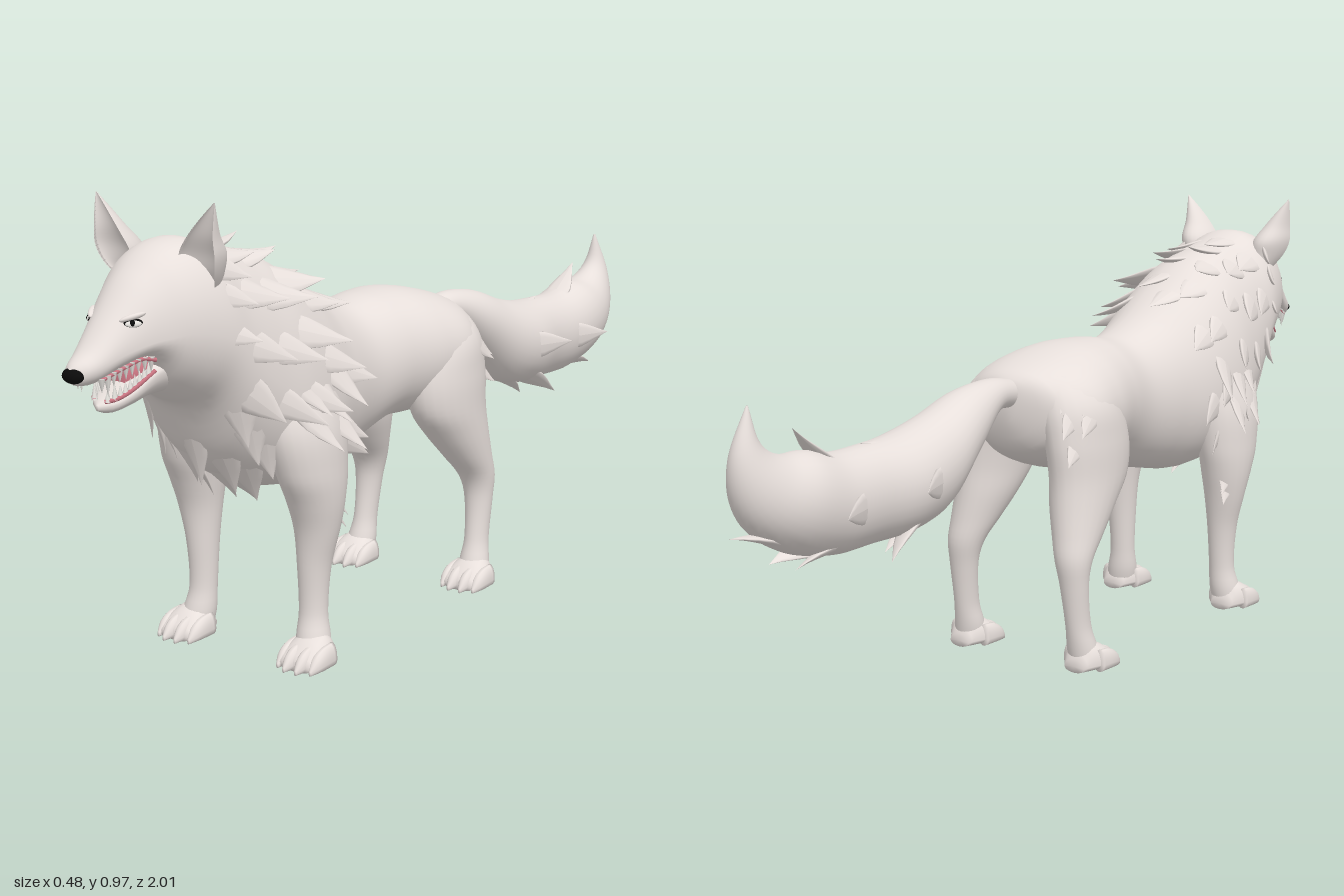
import * as THREE from 'three';
import { mergeGeometries } from 'three/addons/utils/BufferGeometryUtils.js';

const mat = (name, color) => Object.assign(new THREE.MeshStandardMaterial({ color }), { name });
const V = (x, y, z) => new THREE.Vector3(x, y, z);

let seed = 7;
const rnd = () => (seed = (seed * 16807) % 2147483647) / 2147483647;

// Smoothly interpolated row of a section table; column 0 is the increasing key
function at(rows, k) {
  let i = 0;
  while (i < rows.length - 2 && k > rows[i + 1][0]) i++;
  const a = rows[i], b = rows[i + 1], p = rows[i - 1] || a, n = rows[i + 2] || b;
  const h = b[0] - a[0], u = (k - a[0]) / h, u2 = u * u, u3 = u2 * u;
  return a.map((v, c) => {
    const m0 = (b[c] - p[c]) / (b[0] - p[0]), m1 = (n[c] - v) / (n[0] - a[0]);
    return (2 * u3 - 3 * u2 + 1) * v + (u3 - 2 * u2 + u) * h * m0 + (3 * u2 - 2 * u3) * b[c] + (u3 - u2) * h * m1;
  });
}

// Closed skin through the sections; place(row, angle) gives a point
function loft(rows, place, rings = 40, seg = 28) {
  const pos = [], idx = [], k0 = rows[0][0], k1 = rows[rows.length - 1][0];
  for (let r = 0; r <= rings; r++) {
    const row = at(rows, k0 + (k1 - k0) * r / rings);
    for (let s = 0; s < seg; s++) pos.push(...place(row, s / seg * Math.PI * 2).toArray());
  }
  for (let r = 0; r < rings; r++) for (let s = 0; s < seg; s++) {
    const a = r * seg + s, b = r * seg + (s + 1) % seg;
    idx.push(a, b, a + seg, b, b + seg, a + seg);
  }
  for (const r of [0, rings]) {
    const c = V(0, 0, 0), n = pos.length / 3;
    for (let s = 0; s < seg; s++) c.add(V(...pos.slice((r * seg + s) * 3, (r * seg + s) * 3 + 3)));
    pos.push(...c.divideScalar(seg).toArray());
    for (let s = 0; s < seg; s++) {
      const a = r * seg + s, b = r * seg + (s + 1) % seg;
      idx.push(n, r ? a : b, r ? b : a);
    }
  }
  // Turn the faces outward if the enclosed volume is negative
  let vol = 0;
  const p = i => V(pos[i * 3], pos[i * 3 + 1], pos[i * 3 + 2]);
  for (let i = 0; i < idx.length; i += 3) vol += p(idx[i]).dot(p(idx[i + 1]).cross(p(idx[i + 2])));
  if (vol < 0) idx.reverse();
  const g = new THREE.BufferGeometry();
  g.setAttribute('position', new THREE.Float32BufferAttribute(pos, 3));
  g.setIndex(idx);
  g.computeVertexNormals();
  return g;
}

// Section shapes: lengthwise [z, top, mid, bottom, halfWidth], upright [y, x, z, rx, rz]
const alongZ = ([z, top, mid, bot, w], a) =>
  V(w * Math.sign(Math.cos(a)) * Math.abs(Math.cos(a)) ** 0.92, mid + Math.sin(a) * (Math.sin(a) > 0 ? top - mid : mid - bot), z);
const upright = s => ([y, x, z, rx, rz], a) => V(s * (x + rx * Math.cos(a)), y, z + rz * Math.sin(a));
const ear = s => ([y, x, z, rx, rz], a) =>
  V(s * (x + rx * Math.cos(a)), y, z + rz * Math.sin(a) * (Math.sin(a) < 0 ? 1 : -0.35));
const tailRing = ([, z, y, h, w, t], a) =>
  V(w * Math.cos(a), y + h * Math.sin(a) * Math.cos(t), z + h * Math.sin(a) * Math.sin(t));

const BODY = [
  [-0.195, 0.62, 0.58, 0.54, 0.03], [-0.175, 0.642, 0.57, 0.48, 0.11], [-0.1, 0.67, 0.55, 0.43, 0.175],
  [0, 0.69, 0.55, 0.41, 0.172], [0.1, 0.69, 0.55, 0.41, 0.146], [0.2, 0.68, 0.53, 0.38, 0.13],
  [0.3, 0.71, 0.53, 0.355, 0.145], [0.4, 0.77, 0.53, 0.34, 0.172], [0.5, 0.83, 0.54, 0.355, 0.182],
  [0.58, 0.855, 0.59, 0.39, 0.17], [0.65, 0.872, 0.65, 0.455, 0.157], [0.7, 0.888, 0.7, 0.55, 0.148],
  [0.75, 0.883, 0.72, 0.585, 0.132], [0.79, 0.866, 0.725, 0.615, 0.114], [0.82, 0.845, 0.72, 0.66, 0.096],
  [0.85, 0.82, 0.715, 0.678, 0.079], [0.9, 0.765, 0.7, 0.665, 0.056], [0.95, 0.712, 0.68, 0.648, 0.038],
  [0.98, 0.692, 0.672, 0.65, 0.024], [0.992, 0.682, 0.67, 0.66, 0.008]];
const TAIL = [
  [0, -0.17, 0.60, 0.03, 0.03, 0], [1, -0.25, 0.603, 0.038, 0.042, 0], [2, -0.35, 0.555, 0.074, 0.07, 0],
  [3, -0.45, 0.495, 0.1, 0.09, 0], [4, -0.55, 0.47, 0.102, 0.098, 0], [5, -0.65, 0.465, 0.1, 0.085, 0],
  [6, -0.75, 0.465, 0.1, 0.086, 0.1], [7, -0.85, 0.49, 0.098, 0.086, 0.4], [8, -0.925, 0.53, 0.075, 0.062, 0.8],
  [9, -0.965, 0.60, 0.036, 0.03, 1.2], [10, -0.957, 0.686, 0.002, 0.002, 1.4]];
const FRONT_LEG = [
  [0.015, 0.155, 0.48, 0.035, 0.035], [0.05, 0.15, 0.475, 0.036, 0.036], [0.1, 0.145, 0.468, 0.03, 0.03],
  [0.2, 0.146, 0.465, 0.035, 0.036], [0.28, 0.152, 0.463, 0.048, 0.047], [0.34, 0.153, 0.467, 0.058, 0.064],
  [0.4, 0.15, 0.475, 0.064, 0.085], [0.5, 0.135, 0.48, 0.07, 0.1], [0.6, 0.1, 0.47, 0.06, 0.08], [0.66, 0.08, 0.46, 0.02, 0.03]];
const HIND_LEG = [
  [0.015, 0.16, -0.12, 0.035, 0.035], [0.05, 0.157, -0.128, 0.034, 0.034], [0.1, 0.155, -0.14, 0.027, 0.03],
  [0.2, 0.152, -0.152, 0.033, 0.032], [0.25, 0.148, -0.148, 0.042, 0.042], [0.3, 0.14, -0.122, 0.053, 0.062],
  [0.36, 0.131, -0.09, 0.064, 0.088], [0.42, 0.126, -0.063, 0.069, 0.112], [0.5, 0.119, -0.06, 0.073, 0.12],
  [0.58, 0.1, -0.07, 0.076, 0.105], [0.64, 0.07, -0.07, 0.05, 0.075], [0.655, 0.06, -0.07, 0.015, 0.02]];
const EAR = [
  [0.79, 0.085, 0.72, 0.026, 0.035], [0.83, 0.096, 0.748, 0.04, 0.062], [0.865, 0.104, 0.76, 0.043, 0.072],
  [0.9, 0.115, 0.763, 0.031, 0.048], [0.935, 0.13, 0.76, 0.016, 0.024], [0.966, 0.145, 0.755, 0.001, 0.001]];
const JAW = [
  [0.76, 0.68, 0.65, 0.6, 0.06], [0.82, 0.674, 0.648, 0.6, 0.06], [0.87, 0.638, 0.619, 0.59, 0.046],
  [0.905, 0.614, 0.603, 0.585, 0.029], [0.925, 0.603, 0.598, 0.592, 0.004]];
const MOUTH = [
  [0.78, 0.69, 0.665, 0.63, 0.05], [0.82, 0.69, 0.662, 0.62, 0.046], [0.85, 0.68, 0.65, 0.612, 0.034],
  [0.87, 0.67, 0.637, 0.605, 0.018]];
const PAW = [
  [-0.05, 0.03, 0.012, 0, 0.026], [-0.025, 0.066, 0.016, 0, 0.042], [0.015, 0.058, 0.014, 0, 0.053],
  [0.045, 0.036, 0.012, 0, 0.05], [0.058, 0.022, 0.01, 0, 0.04]];
const TOE = [
  [0, 0.05, 0.016, 0, 0.013], [0.035, 0.046, 0.016, 0, 0.0155], [0.06, 0.032, 0.012, 0, 0.012], [0.076, 0.01, 0.006, 0, 0.003]];

// Point and outward normal on a skin
function surface(rows, place, k, a) {
  const e = 0.004, p = place(at(rows, k), a);
  const du = place(at(rows, k + e), a).sub(place(at(rows, k - e), a));
  const dv = place(at(rows, k), a + 0.02).sub(place(at(rows, k), a - 0.02));
  const n = du.cross(dv).normalize();
  if (n.dot(V(p.x, p.y - at(rows, k)[2], 0)) < 0) n.negate();
  return { p, n };
}

// Flat pointed lock of fur rooted just under the skin
function tuft({ p, n }, flow, lift, len, w) {
  const d = flow.clone().addScaledVector(n, -flow.dot(n)).normalize().addScaledVector(n, lift).normalize();
  const x = d.clone().cross(n).normalize(), z = x.clone().cross(d);
  const g = new THREE.ConeGeometry(1, 1, 10, 4);
  const q = g.attributes.position;
  for (let i = 0; i < q.count; i++) {
    const t = q.getY(i) + 0.5, f = 1 + 1.2 * t * (1 - t);
    q.setXYZ(i, q.getX(i) * w * f, t * len, q.getZ(i) * w * 0.25 * f + 0.12 * len * t * t);
  }
  g.computeVertexNormals();
  return g.applyMatrix4(new THREE.Matrix4().makeBasis(x, d, z).setPosition(p.clone().addScaledVector(n, -0.012)));
}

export function createModel() {
  const fur = mat('greyFur', 0xe9e1dd), black = mat('black', 0x0b0b0b);
  const pink = mat('pinkGum', 0xcc7683), white = mat('white', 0xf4f1ec);
  const root = new THREE.Group();
  root.name = 'wolf';
  const add = (name, geo, m, parent = root) => {
    const o = new THREE.Mesh(geo, m);
    o.name = name;
    parent.add(o);
    return o;
  };
  const ball = (name, m, c, r, parent) => {
    const o = add(name, new THREE.SphereGeometry(1, 18, 12), m, parent);
    o.position.set(...c);
    o.scale.set(...r);
    return o;
  };

  add('bodyAndHead', loft(BODY, alongZ, 110, 40), fur);
  add('tail', loft(TAIL, tailRing, 60), fur);
  add('lowerJaw', loft(JAW, alongZ, 20), fur);
  add('mouthInside', loft(MOUTH, alongZ, 16), pink);
  ball('tongue', pink, [0, 0.624, 0.872], [0.016, 0.006, 0.028]).rotation.x = 0.35;
  ball('nose', black, [0, 0.669, 0.983], [0.024, 0.015, 0.017]);

  // Mane: overlapping rings of broad locks, then rows down the chest
  const locks = [];
  [[0.665, 8], [0.6, 9], [0.53, 9], [0.46, 8], [0.41, 6]].forEach(([z, n], r) => {
    for (let i = 0; i < n; i++) {
      const a = (-0.13 + 1.26 * (i + (r % 2) * 0.5) / (n - 0.5)) * Math.PI;
      const side = Math.abs(Math.cos(a));
      locks.push(tuft(surface(BODY, alongZ, z, a), V(0, -0.5, -1), 0.27 + 0.06 * side, 0.1 + 0.035 * rnd(), 0.032 + 0.008 * rnd()));
    }
  });
  [[0.675, 3], [0.645, 4], [0.605, 5], [0.56, 3]].forEach(([z, n]) => {
    for (let i = 0; i < n; i++) {
      const a = -Math.PI / 2 + (i / (n - 1) - 0.5) * 1.9;
      locks.push(tuft(surface(BODY, alongZ, z, a), V(0, -1, -0.3), 0.1, 0.1 + 0.03 * rnd(), 0.038));
    }
  });
  add('mane', mergeGeometries(locks), fur);

  // Locks along the tail
  const tailLocks = [];
  for (const [k, a, lift] of [[3.6, 0, 0.27], [3.6, Math.PI, 0.27], [5.7, 0, 0.27], [5.7, Math.PI, 0.27],
    [4, 1.57, 0.1], [6.2, 1.57, 0.4], [3.4, -1.57, 0.15], [4, -1.1, 0.35], [4, -2.04, 0.35],
    [6.1, -1.2, 0.2], [6.1, -1.94, 0.2], [7.2, -1.57, 0.2]]) {
    tailLocks.push(tuft(surface(TAIL, tailRing, k, a), V(0, 0, -1), lift, 0.11, 0.034));
  }
  add('tailLocks', mergeGeometries(tailLocks), fur);

  for (const s of [1, -1]) {
    const side = s > 0 ? 'left' : 'right';
    add(side + 'Ear', loft(EAR, ear(s), 24, 24), fur);

    // Legs with four-toed paws
    for (const [kind, rows, px, pz] of [['Front', FRONT_LEG, 0.158, 0.492], ['Hind', HIND_LEG, 0.16, -0.112]]) {
      const leg = new THREE.Group();
      leg.name = side + kind + 'Leg';
      root.add(leg);
      add('leg', loft(rows, upright(s), 44, 24), fur, leg);
      add('paw', loft(PAW, alongZ, 14, 24), fur, leg).position.set(s * px, 0, pz);
      [-0.041, -0.015, 0.015, 0.041].forEach((dx, i) =>
        add('toe', loft(TOE, alongZ, 10, 14), fur, leg).position.set(s * px + dx, 0, pz + (i % 3 ? 0 : -0.014)));
    }

    // Locks at the cheek, shoulder, hip and elbow
    const sideLocks = [];
    for (const [x, y, z] of [[0.12, 0.84, 0.71], [0.135, 0.79, 0.71], [0.145, 0.72, 0.71]])
      sideLocks.push(tuft({ p: V(s * x, y, z), n: V(s, 0.2, 0.2).normalize() }, V(0, -0.5, -1), 0.3, 0.07, 0.024));
    for (const [x, y, z] of [[0.165, 0.61, 0.54], [0.175, 0.59, 0.49], [0.172, 0.61, 0.43], [0.185, 0.54, 0.53], [0.19, 0.53, 0.46]])
      sideLocks.push(tuft({ p: V(s * x, y, z), n: V(s, 0.2, 0).normalize() }, V(0, -1, -0.5), 0.28, 0.115, 0.032));
    for (const [x, y, z] of [[0.165, 0.6, -0.1], [0.18, 0.56, -0.12], [0.155, 0.56, -0.155], [0.165, 0.5, -0.15], [0.13, 0.61, -0.13]])
      sideLocks.push(tuft({ p: V(s * x, y, z), n: V(s * 0.85, 0.1, -0.5).normalize() }, V(0, -0.7, -0.7), 0.4, 0.065, 0.022));
    for (const [y, z] of [[0.345, 0.425], [0.32, 0.43]])
      sideLocks.push(tuft({ p: V(s * 0.185, y, z), n: V(s * 0.7, 0, -0.7) }, V(0, -1, -0.5), 0.4, 0.06, 0.02));
    add(side + 'SideLocks', mergeGeometries(sideLocks), fur);

    // Narrow slanted eye with pupil, under a brow
    const { p, n } = surface(BODY, alongZ, 0.88, s > 0 ? 0.62 : Math.PI - 0.62);
    const eye = new THREE.Group();
    eye.name = side + 'Eye';
    eye.position.copy(p);
    eye.lookAt(p.clone().add(n));
    root.add(eye);
    ball('eyeRim', black, [0, 0.001, 0], [0.0175, 0.0085, 0.003], eye);
    ball('eyeWhite', white, [0, -0.001, 0.001], [0.0155, 0.0065, 0.004], eye);
    ball('pupil', black, [-s * 0.002, 0, 0.003], [0.0055, 0.006, 0.003], eye);
    ball('brow', fur, [0, 0.012, -0.001], [0.026, 0.006, 0.008], eye).rotation.z = s * 0.25;

    // Gum lines and teeth on both jaws, with longer fangs in front
    const gum = pts => new THREE.TubeGeometry(new THREE.CatmullRomCurve3(pts), 20, 0.004, 6);
    add(side + 'UpperGum', gum([0.835, 0.86, 0.89, 0.92, 0.945].map(z => {
      const r = at(BODY, z);
      return V(s * r[4] * 0.76, r[3] + 0.007, z);
    })), pink);
    add(side + 'LowerGum', gum([0.825, 0.85, 0.88, 0.905, 0.918].map(z => {
      const r = at(JAW, z);
      return V(s * r[4] * 0.92, r[2] + 0.01, z);
    })), pink);
    const teeth = [];
    for (let i = 0; i < 9; i++) {
      const z = 0.842 + i * 0.0125, up = at(BODY, z), fang = i === 7 ? 0.04 : 0.028;
      teeth.push(new THREE.ConeGeometry(0.0075, fang, 8).rotateX(Math.PI)
        .translate(s * up[4] * 0.72, up[3] + 0.01 - fang / 2, z));
      const zl = 0.835 + i * 0.0098, lo = at(JAW, zl), low = i === 7 ? 0.034 : 0.025;
      teeth.push(new THREE.ConeGeometry(0.0065, low, 8).translate(s * lo[4] * 0.82, lo[2] + 0.008 + low / 2, zl));
    }
    add(side + 'Teeth', mergeGeometries(teeth), white);
  }
  return root;
}
